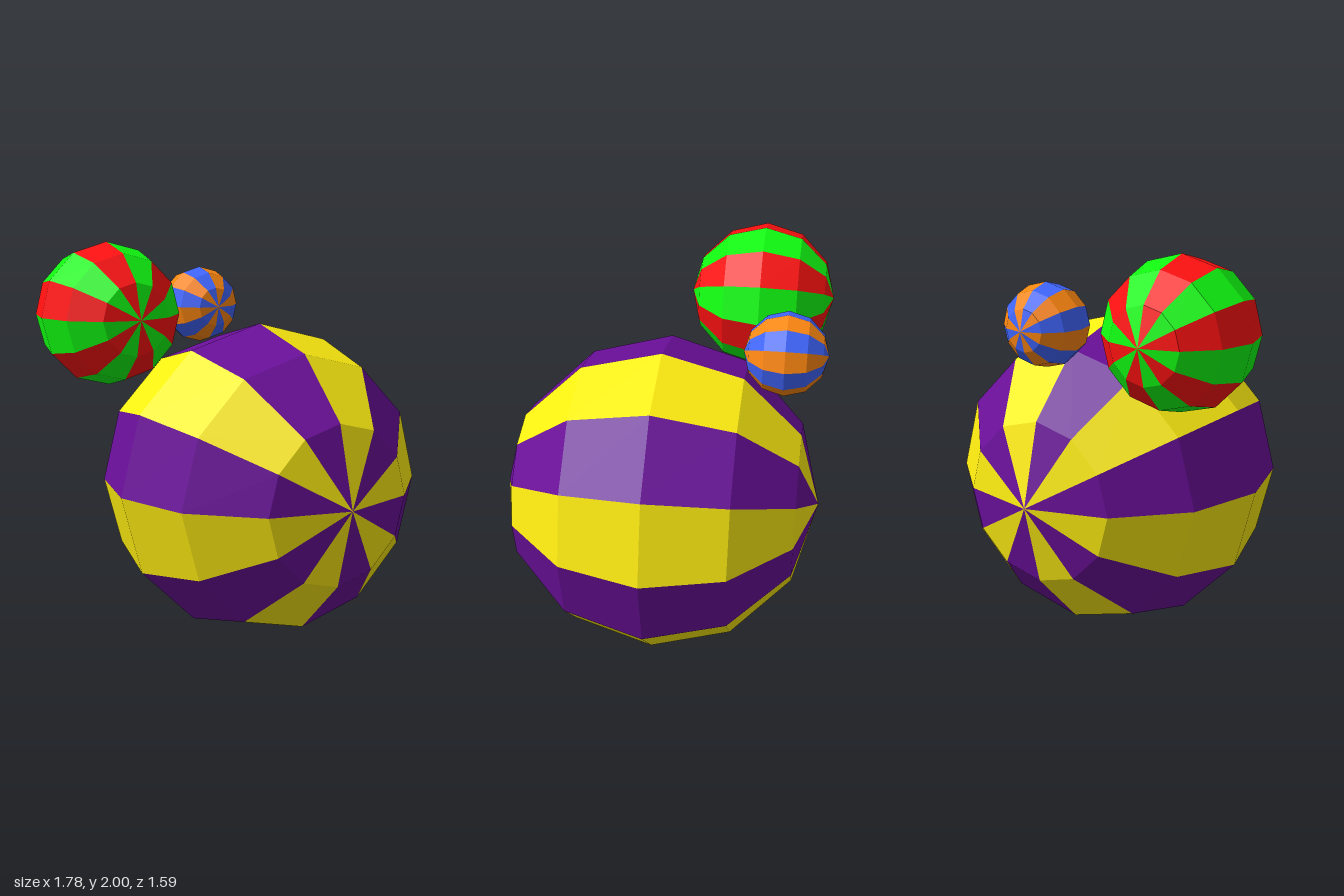
import * as THREE from 'three';
import { mergeGeometries } from 'three/addons/utils/BufferGeometryUtils.js';

const SECTORS = 12, RINGS = 6;

// One ball with poles on the z axis, made of panels in two alternating colours
function stripedBall(name, radius, position, colors) {
  const ball = new THREE.Group();
  ball.name = name;
  ball.position.set(...position);

  const profile = [];
  for (let i = 0; i <= RINGS; i++) {
    const t = (i / RINGS) * Math.PI;
    const atPole = i === 0 || i === RINGS;
    profile.push(new THREE.Vector2(atPole ? 0 : radius * Math.sin(t), -radius * Math.cos(t)));
  }

  const step = (Math.PI * 2) / SECTORS;
  colors.forEach((color, parity) => {
    const panels = [];
    for (let k = parity; k < SECTORS; k += 2) {
      panels.push(new THREE.LatheGeometry(profile, 1, Math.PI / 2 + k * step, step));
    }
    const geometry = mergeGeometries(panels).rotateX(Math.PI / 2);
    const material = new THREE.MeshStandardMaterial({ color, flatShading: true });
    const mesh = new THREE.Mesh(geometry, material);
    mesh.name = `${name}${parity ? 'Odd' : 'Even'}Panels`;
    ball.add(mesh);
  });
  return ball;
}

export function createModel() {
  const model = new THREE.Group();
  model.name = 'beachBalls';
  model.add(
    stripedBall('largeBall', 0.795, [0.096, 0.799, 0], [0xffee11, 0x6a0f99]),
    stripedBall('mediumBall', 0.36, [-0.533, 1.64, -0.435], [0x11ff11, 0xff1111]),
    stripedBall('smallBall', 0.2, [0.096, 1.64, -0.592], [0xff8811, 0x4066ff]),
  );
  return model;
}
